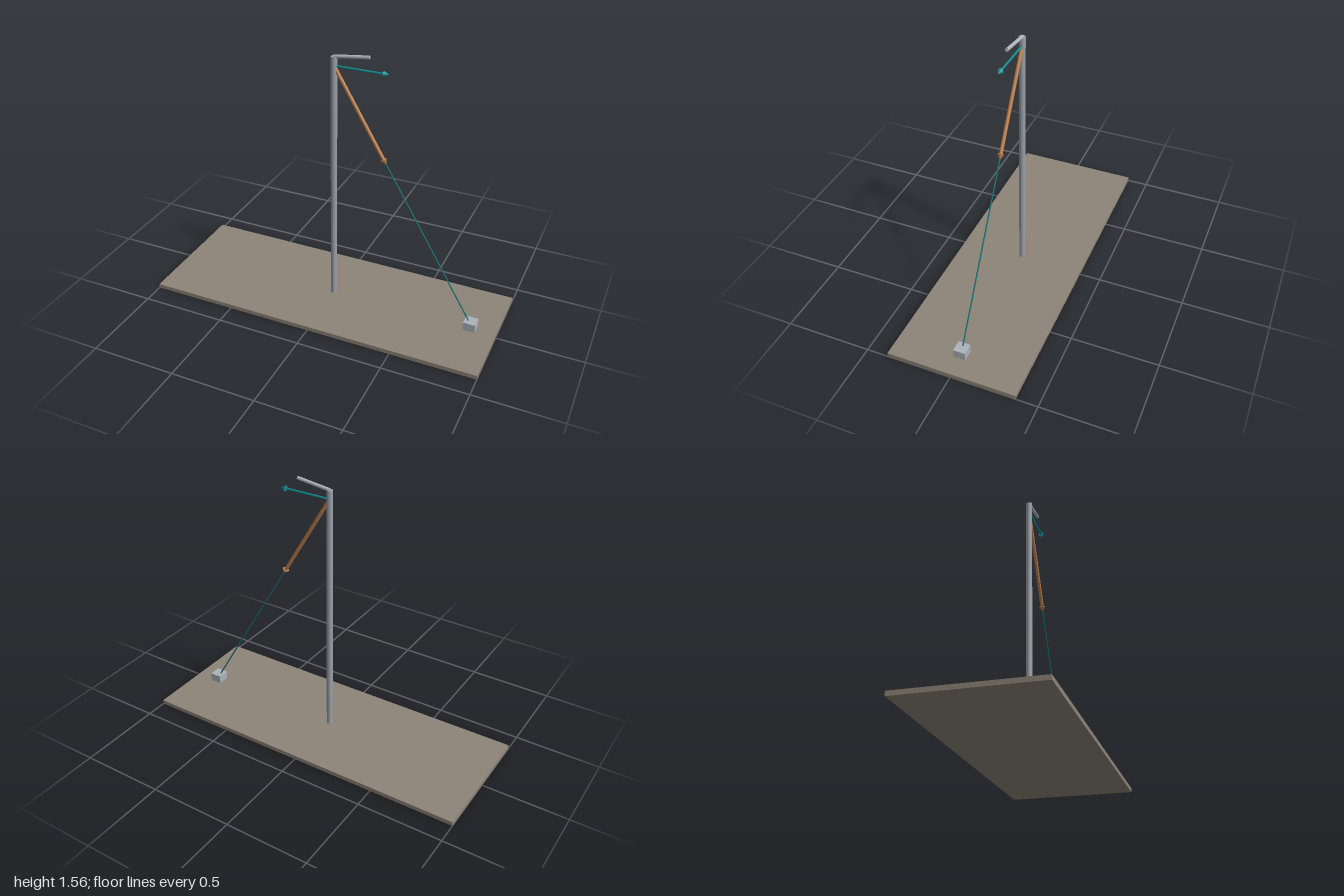
import * as THREE from 'three';

export function createModel() {
  const model = new THREE.Group();
  const material = (name, color) => {
    const m = new THREE.MeshStandardMaterial({ color });
    m.name = name;
    return m;
  };
  const ground = material('ground taupe', 0x8f8579);
  const steel = material('steel grey', 0x9aa0a8);
  const lightSteel = material('light steel', 0xadb3ba);
  const teal = material('teal', 0x138a8f);
  const cableTeal = material('dark teal', 0x14757a);
  const orange = material('copper orange', 0xc08352);

  const add = (parent, name, geometry, mat) => {
    const mesh = new THREE.Mesh(geometry, mat);
    mesh.name = name;
    parent.add(mesh);
    return mesh;
  };
  const up = new THREE.Vector3(0, 1, 0);

  // Round bar between two points; a zero end radius makes a cone
  const bar = (parent, name, a, b, r0, r1, mat, sides = 20) => {
    const dir = b.clone().sub(a);
    const mesh = add(parent, name, new THREE.CylinderGeometry(r1, r0, dir.length(), sides), mat);
    mesh.position.copy(a).add(b).multiplyScalar(0.5);
    mesh.quaternion.setFromUnitVectors(up, dir.normalize());
  };

  // Arrow made of a shaft and a cone head
  const arrow = (name, a, b, radius, headRadius, headLength, mat) => {
    const group = new THREE.Group();
    group.name = name;
    model.add(group);
    const neck = b.clone().addScaledVector(b.clone().sub(a).normalize(), -headLength);
    bar(group, name + 'Shaft', a, neck, radius, radius, mat);
    bar(group, name + 'Head', neck, b, headRadius, 0, mat);
  };

  const p = (x, y) => new THREE.Vector3(x, y, 0);
  const attach = p(0, 1.476);
  const anchor = p(0.85, 0.05);

  // Ground slab and anchor block
  add(model, 'groundSlab', new THREE.BoxGeometry(2, 0.025, 0.75), ground).position.y = 0.0125;
  add(model, 'anchorBlock', new THREE.BoxGeometry(0.07, 0.05, 0.07), lightSteel).position.copy(anchor);

  // Pole and lamp arm
  bar(model, 'pole', p(0, 0.025), p(0, 1.528), 0.018, 0.018, steel, 32);
  bar(model, 'topArm', p(0, 1.528), p(0.2, 1.553), 0.01, 0.01, lightSteel);

  // Guy cable and the two force arrows
  bar(model, 'guyCable', attach, anchor, 0.004, 0.004, cableTeal, 12);
  arrow('horizontalForce', attach, p(0.31, 1.476), 0.006, 0.017, 0.03, teal);
  arrow('cableForce', attach, attach.clone().lerp(anchor, 0.367), 0.01, 0.018, 0.036, orange);

  return model;
}
